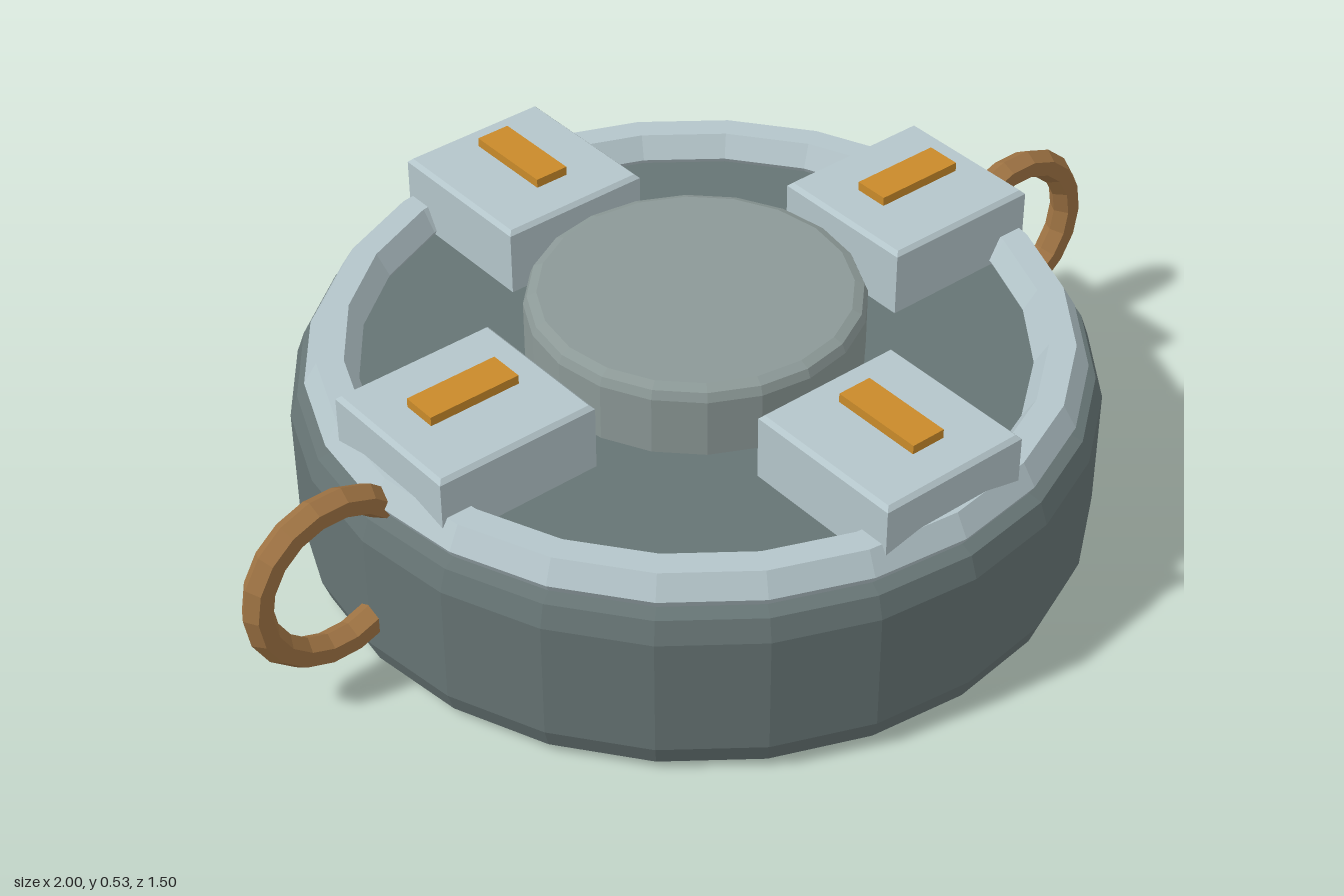
import * as THREE from 'three';

const mat = (name, color) => {
  const m = new THREE.MeshStandardMaterial({ color, flatShading: true });
  m.name = name;
  return m;
};

export function createModel() {
  const model = new THREE.Group();
  model.name = 'roundDevice';
  const darkGrey = mat('dark grey', 0x667474);
  const midGrey = mat('mid grey', 0x8c9997);
  const paleGrey = mat('pale blue grey', 0xb4c5ca);
  const bronze = mat('bronze', 0x9e7343);
  const amber = mat('amber', 0xc98a2a);

  const add = (parent, name, geometry, material, x = 0, y = 0, z = 0) => {
    const mesh = new THREE.Mesh(geometry, material);
    mesh.name = name;
    mesh.position.set(x, y, z);
    parent.add(mesh);
    return mesh;
  };
  const lathe = (points, sides) =>
    new THREE.LatheGeometry(points.map(([r, y]) => new THREE.Vector2(r, y)), sides);

  // Drum body with chamfered rims
  add(model, 'body', lathe([
    [0, 0], [0.69, 0], [0.735, 0.018], [0.75, 0.06],
    [0.75, 0.3], [0.735, 0.343], [0.69, 0.36], [0, 0.36],
  ], 24), darkGrey);

  // Pale rim ring
  const ring = new THREE.TorusGeometry(0.67, 0.05, 6, 24).rotateX(Math.PI / 2);
  add(model, 'rimRing', ring, paleGrey, 0, 0.37, 0);

  // Central hub
  add(model, 'hub', lathe([
    [0, 0.35], [0.315, 0.35], [0.315, 0.475], [0.308, 0.492], [0.29, 0.5], [0, 0.5],
  ], 20), midGrey);

  // Lug block with slightly bevelled edges
  const bevel = 0.008;
  const w = 0.165 - bevel, d = 0.155 - bevel;
  const outline = new THREE.Shape([
    new THREE.Vector2(-w, -d), new THREE.Vector2(w, -d),
    new THREE.Vector2(w, d), new THREE.Vector2(-w, d),
  ]);
  const block = new THREE.ExtrudeGeometry(outline, {
    depth: 0.145 - 2 * bevel, bevelThickness: bevel, bevelSize: bevel, bevelSegments: 1,
  }).rotateX(-Math.PI / 2).translate(0, bevel, 0);
  const plate = new THREE.BoxGeometry(0.187, 0.018, 0.07);

  // Four lugs, each with an amber marker just above it
  for (let i = 0; i < 4; i++) {
    const lug = new THREE.Group();
    lug.name = 'lug';
    lug.rotation.y = i * Math.PI / 2;
    add(lug, 'lugBlock', block, paleGrey, 0.52, 0.35, 0);
    add(lug, 'marker', plate, amber, 0.522, 0.517, 0);
    model.add(lug);
  }

  // Ring handles on both sides
  const handle = new THREE.TorusGeometry(0.154, 0.03, 6, 18);
  for (const side of [1, -1]) {
    const mesh = add(model, side > 0 ? 'leftHandle' : 'rightHandle', handle, bronze, side * 0.816, 0.257, 0);
    if (side < 0) mesh.rotation.y = Math.PI;
  }
  return model;
}
